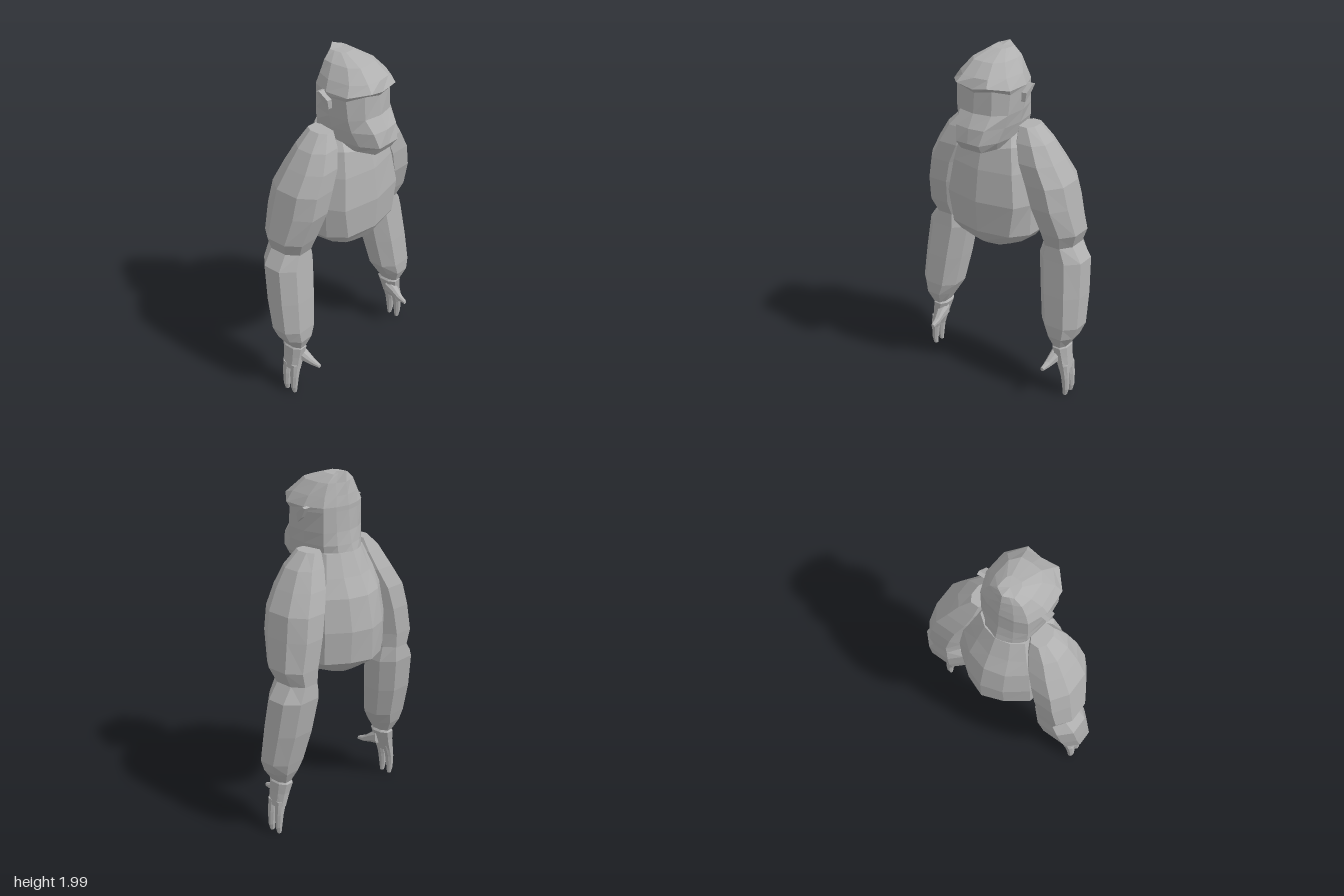
import * as THREE from 'three';

// Skin a list of closed rings of [x, y, z] points, with fan caps at both ends.
function loft(rings) {
  const n = rings[0].length, pos = rings.flat(2), idx = [];
  rings.slice(1).forEach((_, i) => {
    for (let j = 0; j < n; j++) {
      const a = i * n + j, b = i * n + (j + 1) % n;
      idx.push(a, b, b + n, a, b + n, a + n);
    }
  });
  [0, rings.length - 1].forEach((r, end) => {
    const c = pos.length / 3;
    for (let k = 0; k < 3; k++) pos.push(rings[r].reduce((s, p) => s + p[k], 0) / n);
    for (let j = 0; j < n; j++) {
      const a = r * n + j, b = r * n + (j + 1) % n;
      idx.push(...(end ? [a, b, c] : [b, a, c]));
    }
  });
  // turn the faces outward if the enclosed volume is negative
  const v = i => new THREE.Vector3().fromArray(pos, i * 3);
  let volume = 0;
  for (let i = 0; i < idx.length; i += 3) volume += v(idx[i]).dot(v(idx[i + 1]).cross(v(idx[i + 2])));
  if (volume < 0) idx.reverse();
  const g = new THREE.BufferGeometry();
  g.setAttribute('position', new THREE.Float32BufferAttribute(pos, 3));
  g.setIndex(idx);
  const flat = g.toNonIndexed();
  flat.computeVertexNormals();
  return flat;
}

// Half outline from front centre to back centre, [x, z, raise], mirrored into a ring.
function mirrorRing(y, half) {
  const right = half.map(([x, z, dy = 0]) => [x, y + dy, z]);
  const left = right.slice(1, -1).reverse().map(([x, h, z]) => [-x, h, z]);
  return [...right, ...left];
}

// Eight-sided level ring between x and z limits.
const OCT = [[-.5, 1], [.5, 1], [1, .45], [1, -.45], [.5, -1], [-.5, -1], [-1, -.45], [-1, .45]];
const limbRing = s => ([y, x0, x1, z0, z1]) => OCT.map(([u, w]) =>
  [s * ((x0 + x1) / 2 + u * (x1 - x0) / 2), y, (z0 + z1) / 2 + w * (z1 - z0) / 2]);

export function createModel() {
  const model = new THREE.Group();
  model.name = 'apeBust';
  const grey = new THREE.MeshStandardMaterial({ color: 0xb0b0b0, flatShading: true });
  grey.name = 'grey';
  const add = (name, rings, parent = model) => {
    const m = new THREE.Mesh(loft(rings), grey);
    m.name = name;
    parent.add(m);
  };

  // Torso with a ridged back, rising into the neck
  add('torso', [
    mirrorRing(.90, [[0, .12, -.01], [.08, .12], [.11, .06], [.12, -.03], [.1, -.1], [.06, -.14], [0, -.15]]),
    mirrorRing(.94, [[0, .165, -.02], [.16, .14], [.2, .08], [.215, -.03], [.17, -.14], [.1, -.19], [0, -.21]]),
    mirrorRing(1.0, [[0, .215], [.185, .18], [.26, .09], [.265, -.03], [.235, -.165], [.12, -.25], [0, -.295]]),
    mirrorRing(1.18, [[0, .228], [.215, .185], [.265, .09], [.27, -.03], [.235, -.17], [.12, -.26], [0, -.298]]),
    mirrorRing(1.36, [[0, .205], [.19, .165], [.24, .08], [.25, -.04], [.215, -.15], [.115, -.23], [0, -.26]]),
    mirrorRing(1.46, [[0, .178], [.165, .135, .04], [.2, .06, .03], [.21, -.04], [.18, -.13], [.1, -.18], [0, -.21]]),
    mirrorRing(1.58, [[0, .06], [.11, .06], [.14, .03], [.15, -.03], [.14, -.09], [.08, -.135], [0, -.155]])
  ]);

  // Head: jaw, muzzle, eye hollow, brow ridge, pointed crest
  add('head', [
    mirrorRing(1.49, [[0, .262], [.065, .26], [.1, .17], [.12, .06], [.12, -.07], [.085, -.14], [0, -.185]]),
    mirrorRing(1.54, [[0, .295], [.072, .295], [.125, .2], [.145, .06], [.13, -.07], [.085, -.13], [0, -.165]]),
    mirrorRing(1.62, [[0, .283], [.09, .27], [.15, .17], [.165, .05], [.145, -.075], [.085, -.12], [0, -.142]]),
    mirrorRing(1.69, [[0, .24], [.1, .22], [.165, .16], [.175, .04], [.145, -.075], [.08, -.11], [0, -.127]]),
    mirrorRing(1.80, [[0, .23], [.1, .215, .02], [.17, .15], [.185, .03], [.145, -.075], [.08, -.105], [0, -.12]]),
    mirrorRing(1.825, [[0, .25], [.095, .255, .02], [.178, .165], [.187, .03], [.145, -.075], [.08, -.105], [0, -.12]]),
    mirrorRing(1.88, [[0, .23], [.08, .22], [.145, .15], [.158, .02], [.125, -.065], [.07, -.095], [0, -.11]]),
    mirrorRing(1.945, [[0, .155], [.06, .15], [.1, .1], [.108, 0], [.095, -.06], [.055, -.08], [0, -.1]]),
    mirrorRing(1.985, [[0, .03], [.03, .03], [.045, .01], [.05, -.03], [.05, -.06], [.03, -.072, .005], [0, -.09, .015]])
  ]);

  for (const [side, s] of [['left', 1], ['right', -1]]) {
    const ring = limbRing(s);

    // Ear: a slanted tapering flap
    const ear = [[1.74, .065], [1.79, .065], [1.83, .015], [1.825, -.005], [1.77, .03]];
    add(side + 'Ear', [
      ear.map(([y, z]) => [s * .165, y, z]),
      ear.map(([y, z]) => [s * (.2 + (y - 1.74) * .17), y, z - .005])
    ]);

    // Arm from shoulder to wrist: y, inner x, outer x, back z, front z
    const arm = new THREE.Group();
    arm.name = side + 'Arm';
    model.add(arm);
    add('upperArm', [
      [1.60, .14, .235, -.075, .06], [1.52, .13, .315, -.11, .1], [1.42, .15, .375, -.15, .125],
      [1.31, .19, .435, -.185, .13], [1.18, .225, .46, -.2, .12], [1.02, .26, .49, -.2, .07],
      [.93, .275, .455, -.195, .03]
    ].map(ring), arm);
    add('forearm', [
      [.94, .275, .455, -.195, .03], [.85, .25, .515, -.2, .04], [.65, .277, .53, -.17, .065],
      [.47, .305, .537, -.125, .083], [.4, .345, .51, -.105, .083], [.33, .385, .465, -.07, .055]
    ].map(ring), arm);

    // Hand: palm, two fingers, forward thumb
    add('palm', [
      [.34, .39, .455, -.06, .04], [.32, .375, .47, -.078, .055], [.26, .395, .475, -.068, .048],
      [.18, .425, .485, -.062, .045]
    ].map(ring), arm);
    for (const z of [.02, -.036]) {
      add('finger', [
        [.21, .42, .483, z - .026, z + .026], [.13, .445, .49, z - .024, z + .024],
        [.05, .455, .49, z - .018, z + .018], [.01, .457, .48, z - .011, z + .011]
      ].map(ring), arm);
    }
    add('thumb', [
      [0, .41, .27, .035, .045], [.05, .405, .25, .028, .032], [.1, .395, .225, .018, .019], [.145, .39, .215, .01, .01]
    ].map(([z, x, y, rx, ry]) => OCT.map(([u, w]) => [s * (x + u * rx), y + w * ry, z])), arm);
  }
  return model;
}
